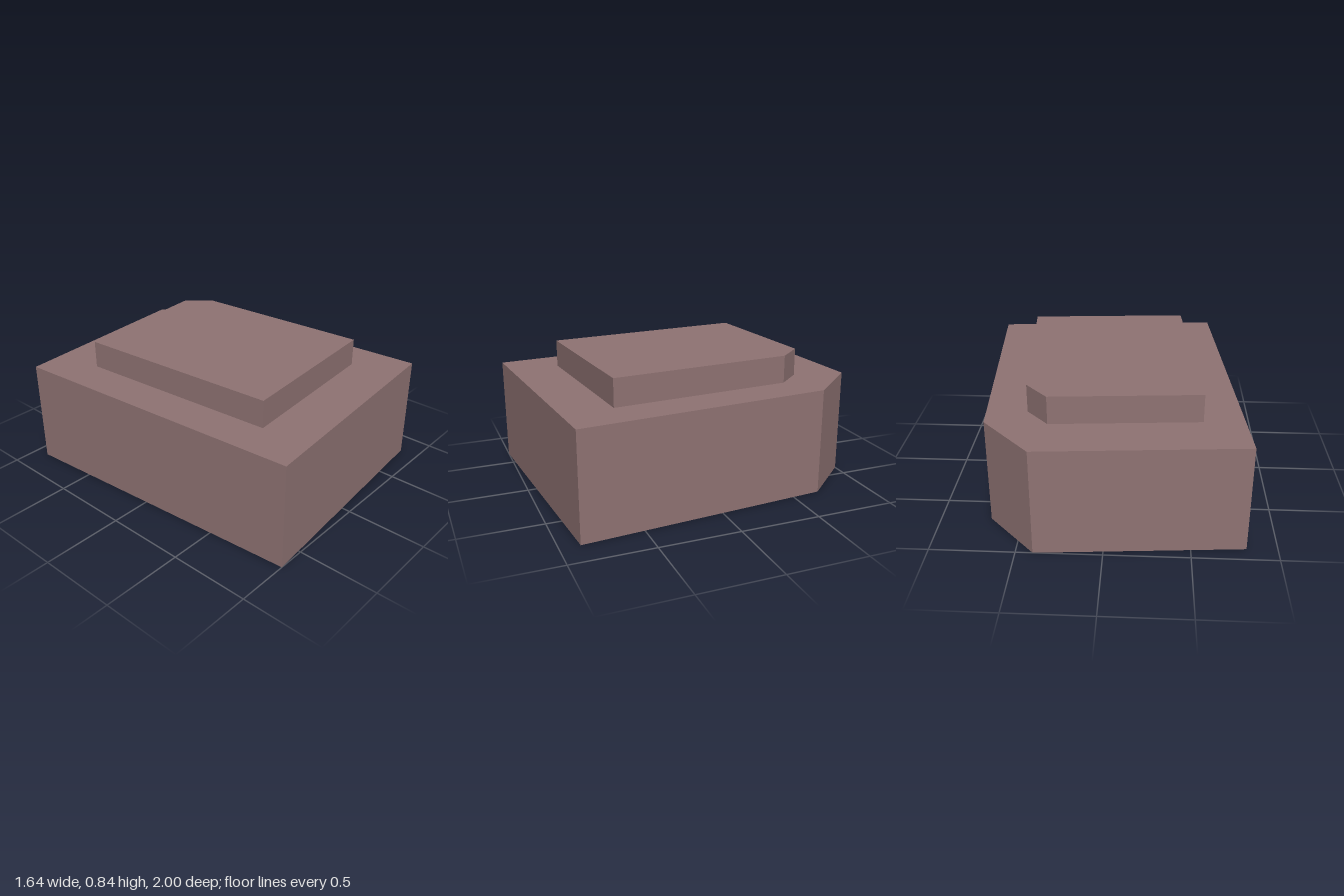
import * as THREE from 'three';

// Extrudes a ground plan of [x, z] corners upward from y0 to y1.
function block(name, plan, y0, y1, material) {
  const shape = new THREE.Shape(plan.map(([x, z]) => new THREE.Vector2(x, -z)));
  const geometry = new THREE.ExtrudeGeometry(shape, { depth: y1 - y0, bevelEnabled: false });
  geometry.rotateX(-Math.PI / 2);
  geometry.translate(0, y0, 0);
  const mesh = new THREE.Mesh(geometry, material);
  mesh.name = name;
  return mesh;
}

export function createModel() {
  const wall = new THREE.MeshStandardMaterial({ color: 0x8f7373 });
  wall.name = 'dusty mauve';

  const group = new THREE.Group();
  group.name = 'building';

  // Main storey, slightly turned, with one cut back corner
  const mainPlan = [[-0.82, -0.905], [0.4, -1], [0.695, -0.68], [0.82, 0.88], [-0.672, 1]];
  // Set-back roof storey with the same cut corner
  const roofPlan = [[-0.556, -0.617], [0.33, -0.685], [0.464, -0.535], [0.553, 0.592], [-0.455, 0.67]];

  group.add(
    block('mainStorey', mainPlan, 0, 0.664, wall),
    block('roofStorey', roofPlan, 0.664, 0.836, wall),
  );
  return group;
}
